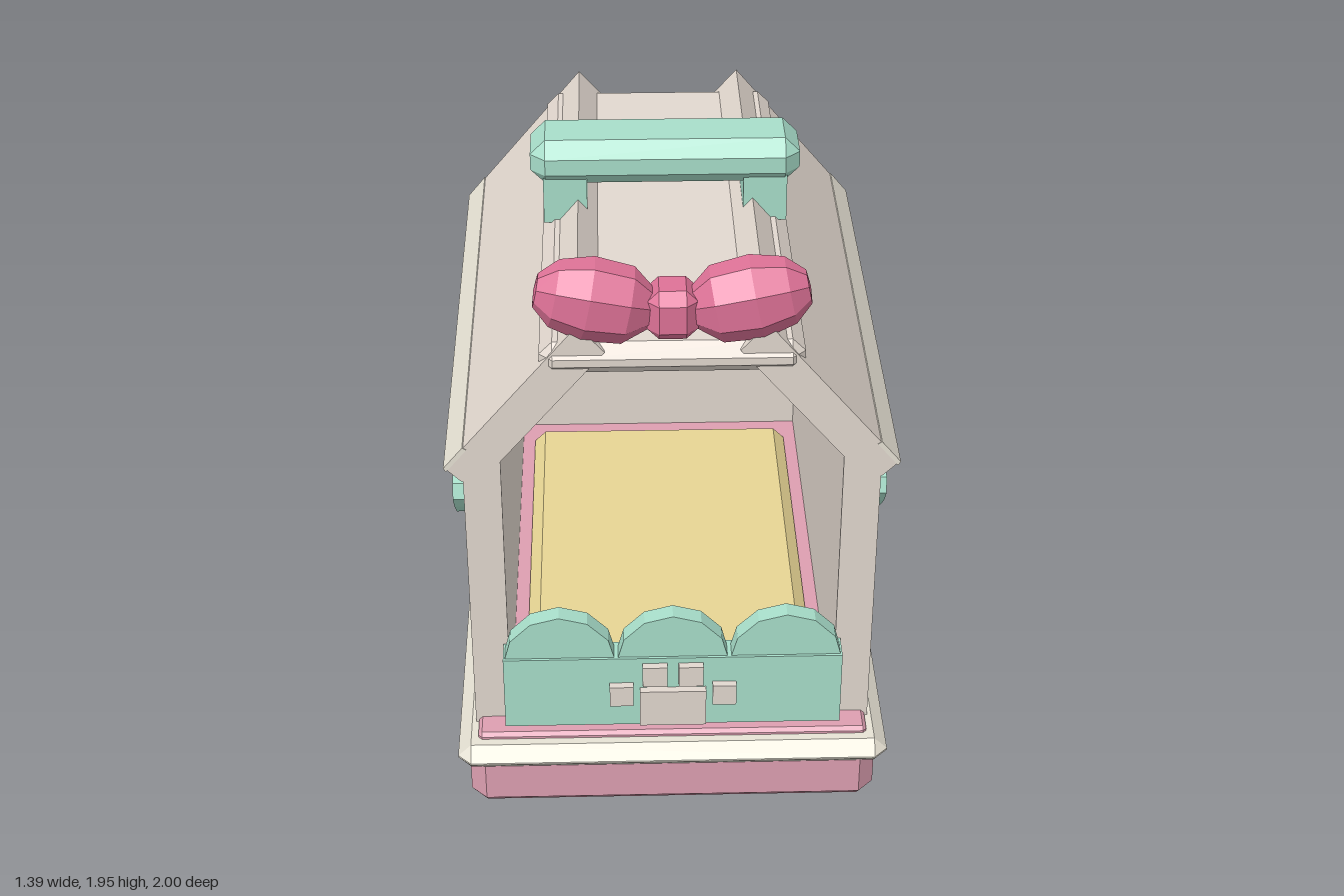
import * as THREE from 'three';
import { ConvexGeometry } from 'three/addons/geometries/ConvexGeometry.js';

const mat = (name, color) => {
  const m = new THREE.MeshStandardMaterial({ color });
  m.name = name;
  m.flatShading = true;
  return m;
};

// Box given by its extents, with every edge cut by c
function chamferBox([x0, x1], [y0, y1], [z0, z1], c) {
  const h = [(x1 - x0) / 2, (y1 - y0) / 2, (z1 - z0) / 2];
  const pts = [];
  for (const sx of [-1, 1]) for (const sy of [-1, 1]) for (const sz of [-1, 1]) {
    for (let full = 0; full < 3; full++) {
      const p = h.map((v, i) => (i === full ? v : v - c));
      pts.push(new THREE.Vector3(sx * p[0], sy * p[1], sz * p[2]));
    }
  }
  return new ConvexGeometry(pts).translate((x0 + x1) / 2, (y0 + y1) / 2, (z0 + z1) / 2);
}

function box([x0, x1], [y0, y1], [z0, z1]) {
  return new THREE.BoxGeometry(x1 - x0, y1 - y0, z1 - z0)
    .translate((x0 + x1) / 2, (y0 + y1) / 2, (z0 + z1) / 2);
}

// Extrude an x-y outline between two z values
function prism(points, z0, z1) {
  const shape = new THREE.Shape(points.map(([x, y]) => new THREE.Vector2(x, y)));
  return new THREE.ExtrudeGeometry(shape, { depth: z1 - z0, bevelEnabled: false }).translate(0, 0, z0);
}

export function createModel() {
  const model = new THREE.Group();
  model.name = 'petHouse';
  const wall = mat('warmGrey', 0xe2d8cf);
  const cream = mat('cream', 0xebe6d8);
  const pink = mat('palePink', 0xdd9fb1);
  const rose = mat('rose', 0xde7297);
  const mint = mat('mint', 0xa8deca);
  const yellow = mat('yellow', 0xe8d694);

  const add = (name, geometry, material) => {
    const mesh = new THREE.Mesh(geometry, material);
    mesh.name = name;
    model.add(mesh);
    return mesh;
  };

  // Tray, rim, floor and cushion
  add('tray', chamferBox([-0.655, 0.655], [0, 0.26], [-0.96, 0.96], 0.05), pink);
  add('trayRim', chamferBox([-0.69, 0.69], [0.18, 0.27], [-1, 1], 0.042), cream);
  add('floor', chamferBox([-0.625, 0.625], [0.2, 0.29], [-0.93, 0.93], 0.012), pink);
  add('cushion', chamferBox([-0.475, 0.475], [0.22, 0.335], [-0.82, 0.82], 0.04), yellow);

  // Side walls with sloping roof, and the cream strips along the eaves
  const back = -0.955, front = 0.84;
  const sideProfile = [[0.52, 0.26], [0.635, 0.26], [0.635, 1.21], [0.64, 1.21], [0.69, 1.26],
    [0.28, 1.75], [0.2, 1.66], [0.52, 1.28]];
  const eaveProfile = [[0.62, 1.325], [0.685, 1.247], [0.693, 1.26], [0.633, 1.333]];
  for (const s of [1, -1]) {
    const mirrored = (profile) => profile.map(([x, y]) => [s * x, y]);
    const side = s > 0 ? 'left' : 'right';
    add(side + 'WallAndRoof', prism(mirrored(sideProfile), back, front), wall);
    add(side + 'EaveStrip', prism(mirrored(eaveProfile), back - 0.002, front + 0.002), cream);
  }

  // Flat roof slab, whose edges poke through the slopes, and the back panel
  add('roofSlab', chamferBox([-0.395, 0.395], [1.575, 1.68], [-0.96, 0.85], 0.04), wall);
  add('backPanel', prism([[-0.53, 0.26], [0.53, 0.26], [0.53, 1.28], [0.21, 1.65],
    [-0.21, 1.65], [-0.53, 1.28]], -0.945, -0.9), wall);

  // Carrying handle
  add('handleBar', chamferBox([-0.43, 0.43], [1.8, 1.95], [-0.18, 0.065], 0.048), mint);
  for (const s of [-1, 1]) {
    const post = box([-0.07, 0.07], [1.67, 1.83], [-0.15, 0.04]).translate(s * 0.32, 0, 0);
    add('handlePost', post, mint);
  }

  // Bow: two faceted lobes and a knot
  const lobeProfile = [[0, -0.18], [0.06, -0.17], [0.115, -0.1], [0.125, 0.02],
    [0.1, 0.12], [0.05, 0.175], [0, 0.18]].map(([r, t]) => new THREE.Vector2(r, t));
  for (const s of [-1, 1]) {
    const lobe = add('bowLobe', new THREE.LatheGeometry(lobeProfile, 8)
      .rotateY(Math.PI / 8).rotateZ(-Math.PI / 2).scale(1, 1.04, 0.88), rose);
    if (s < 0) lobe.geometry.rotateY(Math.PI);
    lobe.position.set(s * 0.228, 1.81, 0.79);
    lobe.rotation.z = s * 0.2;
  }
  add('bowKnot', chamferBox([-0.075, 0.075], [1.7, 1.86], [0.71, 0.87], 0.035), rose);

  // Scalloped front gate
  add('gate', box([-0.535, 0.535], [0.325, 0.59], [0.845, 0.932]), mint);
  for (const x of [-0.357, 0, 0.357]) {
    const scallop = new THREE.CylinderGeometry(0.178, 0.178, 0.06, 12)
      .rotateX(Math.PI / 2).translate(x, 0.568, 0.893);
    add('gateScallop', scallop, mint);
  }

  // Paw on the gate
  const paw = [[0, 0.407, 0.21, 0.135]];
  for (const s of [-1, 1]) paw.push([s * 0.057, 0.533, 0.078, 0.075], [s * 0.163, 0.457, 0.075, 0.075]);
  for (const [x, y, w, h] of paw) {
    add('pawPad', box([x - w / 2, x + w / 2], [y - h / 2, y + h / 2], [0.92, 0.957]), wall);
  }

  // Hearts on both side walls
  const half = [[0.16, -0.065], [0.253, 0.053], [0.22, 0.155], [0.12, 0.185], [0.035, 0.155]];
  const outline = [[0, -0.213], ...half, [0, 0.11], ...half.map(([x, y]) => [-x, y]).reverse()];
  for (const s of [-1, 1]) {
    for (const [name, z, y, k, m] of [['largeHeart', -0.115, 0.8, 1, rose], ['smallHeart', 0.485, 0.96, 0.5, mint]]) {
      const heart = add(name, prism(outline.map(([a, b]) => [a * k, b * k]), 0, 0.07), m);
      heart.rotation.y = s * Math.PI / 2;
      heart.position.set(s * 0.618, y, z);
    }
  }
  return model;
}
